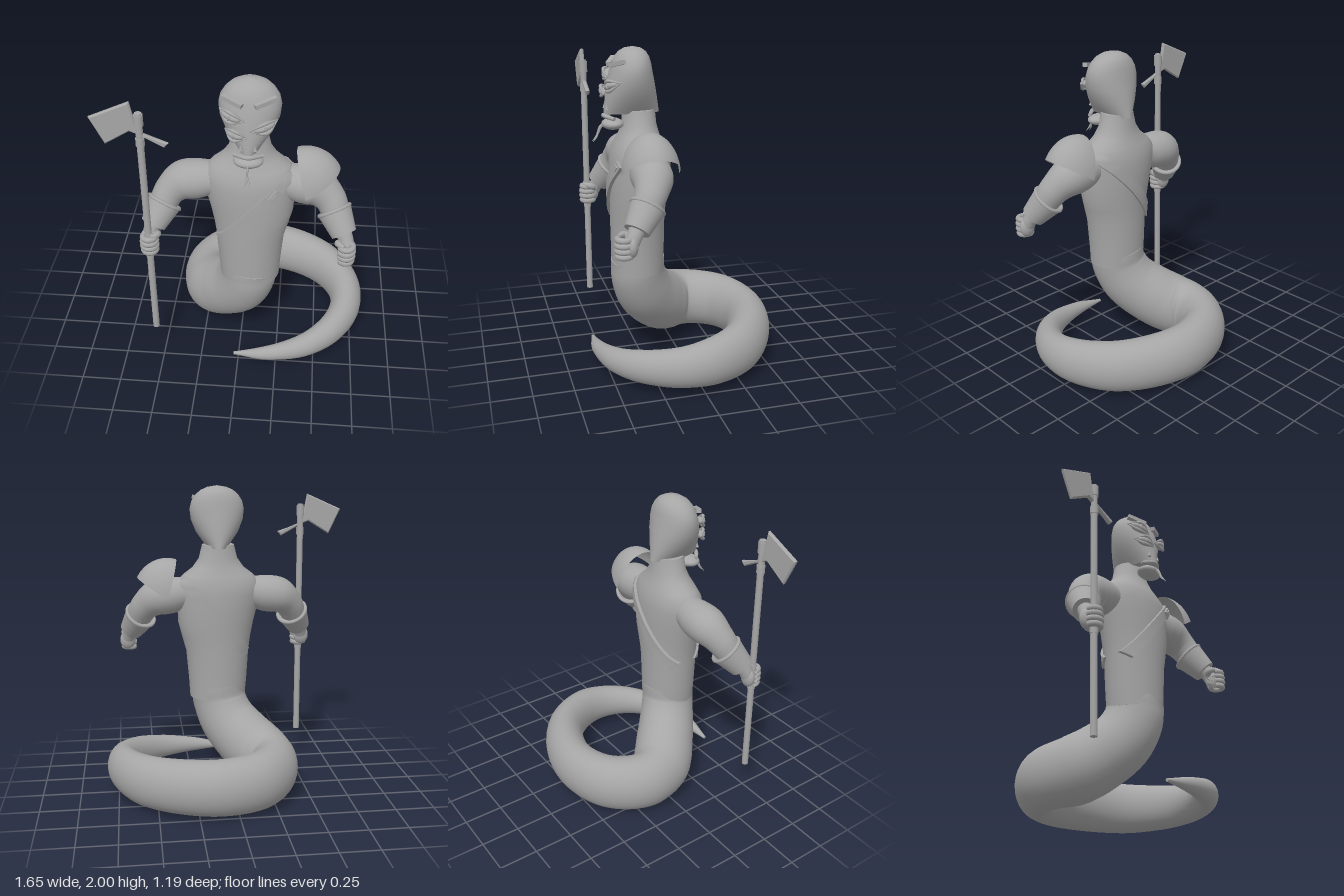
import * as THREE from 'three';

const V = (x, y, z) => new THREE.Vector3(x, y, z);
const MID = 0.055; // the upper body's own centre line

// Sections: [y, centre x, half width, centre z, half depth]
const TORSO = [
  [0.58, 0.06, 0.188, 0.25, 0.167], [0.7, 0.058, 0.197, 0.25, 0.168], [0.9, 0.06, 0.212, 0.25, 0.17],
  [1.0, 0.067, 0.232, 0.248, 0.172], [1.1, 0.07, 0.254, 0.245, 0.175], [1.2, 0.06, 0.268, 0.243, 0.177],
  [1.3, MID, 0.282, 0.24, 0.176], [1.37, MID, 0.278, 0.238, 0.165], [1.42, MID, 0.235, 0.235, 0.145],
  [1.47, MID, 0.17, 0.232, 0.125], [1.53, MID, 0.128, 0.23, 0.108], [1.62, MID, 0.106, 0.23, 0.1]];
const HEAD = [
  [1.6, 0.057, 0.07, 0.276, 0.174], [1.63, 0.057, 0.09, 0.277, 0.17], [1.7, 0.057, 0.14, 0.278, 0.16],
  [1.78, 0.057, 0.172, 0.279, 0.147], [1.85, 0.057, 0.18, 0.277, 0.13], [1.9, 0.057, 0.168, 0.273, 0.118],
  [1.94, 0.057, 0.142, 0.27, 0.104], [1.97, 0.057, 0.108, 0.267, 0.083], [1.99, 0.057, 0.064, 0.265, 0.052],
  [2.0, 0.057, 0.004, 0.265, 0.004]];

export function createModel() {
  const model = new THREE.Group();
  const grey = new THREE.MeshStandardMaterial({ color: 0xa6a6a6, side: THREE.DoubleSide });
  grey.name = 'stone grey';

  function add(name, geometry, parent = model) {
    const mesh = new THREE.Mesh(geometry, grey);
    mesh.name = name;
    parent.add(mesh);
    return mesh;
  }

  // Skin over a list of rings, with flat caps
  function loft(rings) {
    const n = rings[0].length, pos = [], idx = [];
    rings.forEach(r => r.forEach(p => pos.push(p.x, p.y, p.z)));
    for (let i = 0; i < rings.length - 1; i++) for (let j = 0; j < n; j++) {
      const a = i * n + j, b = i * n + (j + 1) % n;
      idx.push(a, a + n, b, b, a + n, b + n);
    }
    [rings[0], rings[rings.length - 1]].forEach((ring, end) => {
      const base = pos.length / 3, c = V(0, 0, 0);
      ring.forEach(p => { pos.push(p.x, p.y, p.z); c.addScaledVector(p, 1 / n); });
      pos.push(c.x, c.y, c.z);
      for (let j = 0; j < n; j++) {
        const a = base + j, b = base + (j + 1) % n;
        end ? idx.push(b, a, base + n) : idx.push(a, b, base + n);
      }
    });
    const g = new THREE.BufferGeometry();
    g.setAttribute('position', new THREE.Float32BufferAttribute(pos, 3));
    g.setIndex(idx);
    g.computeVertexNormals();
    return g;
  }

  const stack = sections => loft(sections.map(([y, cx, rx, cz, rz]) =>
    Array.from({ length: 36 }, (_, j) => {
      const a = j / 36 * Math.PI * 2;
      return V(cx + rx * Math.cos(a), y, cz + rz * Math.sin(a));
    })));

  // Sweep of an ellipse: points are [x, y, z, side radius, other radius]
  function sweep(points, ref, steps, sides = 24) {
    const path = new THREE.CatmullRomCurve3(points.map(p => V(p[0], p[1], p[2])));
    const size = new THREE.CatmullRomCurve3(points.map(p => V(p[3], p[4] ?? p[3], 0)), false, 'catmullrom', 0.4);
    const rings = [];
    for (let i = 0; i <= steps; i++) {
      const t = i / steps, c = path.getPoint(t), s = size.getPoint(t), T = path.getTangent(t);
      const U = T.clone().cross(ref).normalize(), W = U.clone().cross(T);
      rings.push(Array.from({ length: sides }, (_, j) => {
        const a = j / sides * Math.PI * 2;
        return c.clone().addScaledVector(U, s.x * Math.cos(a)).addScaledVector(W, s.y * Math.sin(a));
      }));
    }
    return loft(rings);
  }

  // Depth of a stacked body at a point; side is +1 front or -1 back
  function surfaceZ(sections, x, y, side) {
    let i = 0;
    while (i < sections.length - 2 && sections[i + 1][0] < y) i++;
    const k = (y - sections[i][0]) / (sections[i + 1][0] - sections[i][0]);
    const [, cx, rx, cz, rz] = sections[i].map((v, m) => v + (sections[i + 1][m] - v) * k);
    return cz + side * rz * Math.sqrt(Math.max(0.08, 1 - ((x - cx) / rx) ** 2));
  }

  // Body and coiled tail
  add('torso', stack(TORSO));
  add('tail', sweep([
    [0.06, 0.66, 0.25, 0.172, 0.18], [0.045, 0.54, 0.243, 0.175, 0.185], [-0.01, 0.41, 0.195, 0.185, 0.195],
    [-0.11, 0.3, 0.105, 0.195, 0.205], [-0.21, 0.222, 0.005, 0.195, 0.21], [-0.265, 0.2, -0.12, 0.165, 0.2],
    [-0.245, 0.196, -0.24, 0.155, 0.194], [-0.13, 0.195, -0.385, 0.145, 0.19], [0.1, 0.195, -0.46, 0.14, 0.182],
    [0.34, 0.195, -0.42, 0.137, 0.175], [0.57, 0.19, -0.28, 0.126, 0.166], [0.7, 0.185, -0.06, 0.112, 0.148],
    [0.705, 0.172, 0.14, 0.1, 0.125], [0.61, 0.155, 0.33, 0.087, 0.104], [0.44, 0.132, 0.47, 0.07, 0.08],
    [0.2, 0.11, 0.54, 0.045, 0.048], [-0.025, 0.092, 0.543, 0.01, 0.01]], V(0, 1, 0), 110, 30));

  // Head, jaw and forked tongue
  add('head', stack(HEAD));
  const blob = (name, x, y, z, sx, sy, sz, parent) => {
    const m = add(name, new THREE.SphereGeometry(1, 24, 14), parent);
    m.position.set(x, y, z);
    m.scale.set(sx, sy, sz);
    return m;
  };
  blob('lowerJaw', 0.057, 1.535, 0.395, 0.088, 0.036, 0.068);
  add('upperLip', sweep([[-0.025, 1.575, 0.4, 0.012], [0.057, 1.588, 0.45, 0.014], [0.14, 1.575, 0.4, 0.012]], V(0, 1, 0), 14, 10));
  add('tongue', sweep([[0.057, 1.54, 0.42, 0.012, 0.006], [0.057, 1.525, 0.465, 0.011, 0.006], [0.057, 1.475, 0.49, 0.008, 0.005]], V(1, 0, 0), 10, 8));
  for (const s of [-1, 1]) {
    add('tongueFork', sweep([[0.057, 1.485, 0.487, 0.006], [0.057 + s * 0.007, 1.46, 0.497, 0.006],
      [0.057 + s * 0.015, 1.43, 0.52, 0.002]], V(1, 0, 0), 8, 8));
    const nostril = add('nostril', new THREE.ConeGeometry(0.012, 0.035, 8));
    nostril.position.set(0.057 + s * 0.041, 1.645, surfaceZ(HEAD, 0.057 + s * 0.041, 1.645, 1) + 0.005);
    const brow = add('brow', new THREE.BoxGeometry(0.13, 0.026, 0.03));
    brow.position.set(0.057 + s * 0.093, 1.908, surfaceZ(HEAD, 0.057 + s * 0.093, 1.908, 1) + 0.012);
    brow.rotation.set(0, s * 0.45, s * 0.22);
  }

  // Three slanted eyes: x, y, tilt, half length
  [[-0.04, 1.83, -0.3, 0.083], [-0.015, 1.728, -0.18, 0.073], [0.145, 1.777, 0.28, 0.085]].forEach(([x, y, tilt, len]) => {
    const eye = new THREE.Group();
    eye.name = 'eye';
    eye.position.set(x, y, surfaceZ(HEAD, x, y, 1) + 0.012);
    eye.rotation.set(0, x < MID ? -0.4 : 0.4, tilt);
    blob('eyeball', 0, 0, 0, len * 0.75, 0.025, 0.032, eye);
    blob('pupil', 0, 0, 0.03, 0.006, 0.018, 0.006, eye);
    for (const s of [-1, 1]) add('eyelid', sweep([[-len, 0, -0.012, 0.004],
      [0, s * 0.031, 0.022, 0.011], [len, 0, -0.012, 0.004]], V(0, 0, 1), 14, 8), eye);
    model.add(eye);
  });

  // Arms, bracers and gripping hands, the left mirrored from the right
  for (const side of [-1, 1]) {
    const X = x => side < 0 ? x : 2 * MID - x;
    const arm = new THREE.Group();
    arm.name = side < 0 ? 'rightArm' : 'leftArm';
    model.add(arm);
    add('upperArm', sweep([[X(-0.17), 1.3, 0.24, 0.105], [X(-0.26), 1.285, 0.24, 0.122], [X(-0.35), 1.27, 0.245, 0.122],
      [X(-0.43), 1.21, 0.275, 0.098], [X(-0.475), 1.13, 0.315, 0.085]], V(0, 0, 1), 24), arm);
    const from = V(X(-0.463), 1.14, 0.305), to = V(X(-0.528), 1.025, 0.385);
    const dir = from.clone().sub(to);
    const bracer = add('bracer', new THREE.CylinderGeometry(0.106, 0.078, dir.length(), 28), arm);
    bracer.position.copy(from).add(to).multiplyScalar(0.5);
    bracer.quaternion.setFromUnitVectors(V(0, 1, 0), dir.clone().normalize());
    const rim = add('bracerRim', new THREE.TorusGeometry(0.1, 0.012, 8, 28), arm);
    rim.position.copy(from);
    rim.quaternion.setFromUnitVectors(V(0, 0, 1), dir.clone().normalize());
    add('wrist', sweep([[X(-0.515), 1.05, 0.37, 0.055], [X(-0.54), 1.0, 0.4, 0.046], [X(-0.55), 0.96, 0.42, 0.045]], V(0, 0, 1), 8, 16), arm);
    blob('palm', X(-0.555), 0.945, 0.42, 0.052, 0.066, 0.036, arm);
    for (let i = 0; i < 4; i++) {
      const finger = add('finger', new THREE.TorusGeometry(0.043 - Math.abs(i - 1.5) * 0.003, 0.019, 8, 20, 5.2), arm);
      finger.rotation.set(Math.PI / 2, 0, side < 0 ? -2 : -2.6);
      finger.position.set(X(-0.543), 0.89 + i * 0.033, 0.462);
    }
    add('thumb', sweep([[X(-0.51), 0.98, 0.415, 0.022], [X(-0.492), 1.0, 0.45, 0.021], [X(-0.53), 1.005, 0.493, 0.013]], V(0, 1, 0), 10, 10), arm);
  }

  // Shoulder guard over the left arm: a wedge of a flattened sphere
  const guard = new THREE.SphereGeometry(1, 24, 28, Math.PI * 1.17, Math.PI * 0.42);
  guard.rotateX(Math.PI / 2);
  guard.scale(0.228, 0.25, 0.175);
  add('shoulderGuard', guard).position.set(0.395, 1.282, 0.242);

  // Chest and back straps, bent to follow the torso
  for (const s of [1, -1]) {
    const strap = new THREE.BoxGeometry(1, 0.066, 0.022, 28, 2, 1);
    const p = strap.attributes.position;
    for (let i = 0; i < p.count; i++) {
      const t = p.getX(i) + 0.5, v = p.getY(i);
      const x = -0.125 + 0.43 * t - v * 0.76, y = 0.9 + 0.49 * t + 0.03 * Math.sin(t * Math.PI) + v * 0.65;
      p.setXYZ(i, x, y, surfaceZ(TORSO, x, y, s) + s * 0.01 + p.getZ(i));
    }
    strap.computeVertexNormals();
    add(s > 0 ? 'chestStrap' : 'backStrap', strap);
  }
  for (const [w, h, z] of [[0.075, 0.052, 0.022], [0.045, 0.026, 0.03]]) {
    const buckle = add('buckle', new THREE.BoxGeometry(w, h, 0.016));
    buckle.position.set(0.215, 1.292, surfaceZ(TORSO, 0.215, 1.292, 1) + z);
    buckle.rotation.set(0, 0.4, 0.83);
  }

  // Long axe in the right hand
  const axe = new THREE.Group();
  axe.name = 'axe';
  axe.position.set(-0.545, 0, 0.466);
  model.add(axe);
  [['shaft', 0.23, 1.86, 0.021], ['collar', 1.78, 1.85, 0.027], ['collar', 1.65, 1.7, 0.026], ['grip', 0.84, 1.02, 0.025]]
    .forEach(([name, y0, y1, r]) => {
      add(name, new THREE.CylinderGeometry(r, r, y1 - y0, 18), axe).position.y = (y0 + y1) / 2;
    });
  const plate = (name, points) => {
    const g = new THREE.ExtrudeGeometry(new THREE.Shape(points.map(([x, y]) => new THREE.Vector2(x + 0.545, y))),
      { depth: 0.012, bevelEnabled: true, bevelThickness: 0.008, bevelSize: 0.008, bevelOffset: -0.008, bevelSegments: 1 });
    g.translate(0, 0, -0.006);
    add(name, g, axe);
  };
  plate('axeBlade', [[-0.825, 1.825], [-0.745, 1.655], [-0.6, 1.745], [-0.53, 1.715], [-0.53, 1.77], [-0.565, 1.8], [-0.59, 1.93]]);
  plate('axeSpike', [[-0.59, 1.745], [-0.41, 1.645], [-0.385, 1.675], [-0.52, 1.72], [-0.58, 1.77]]);

  return model;
}
